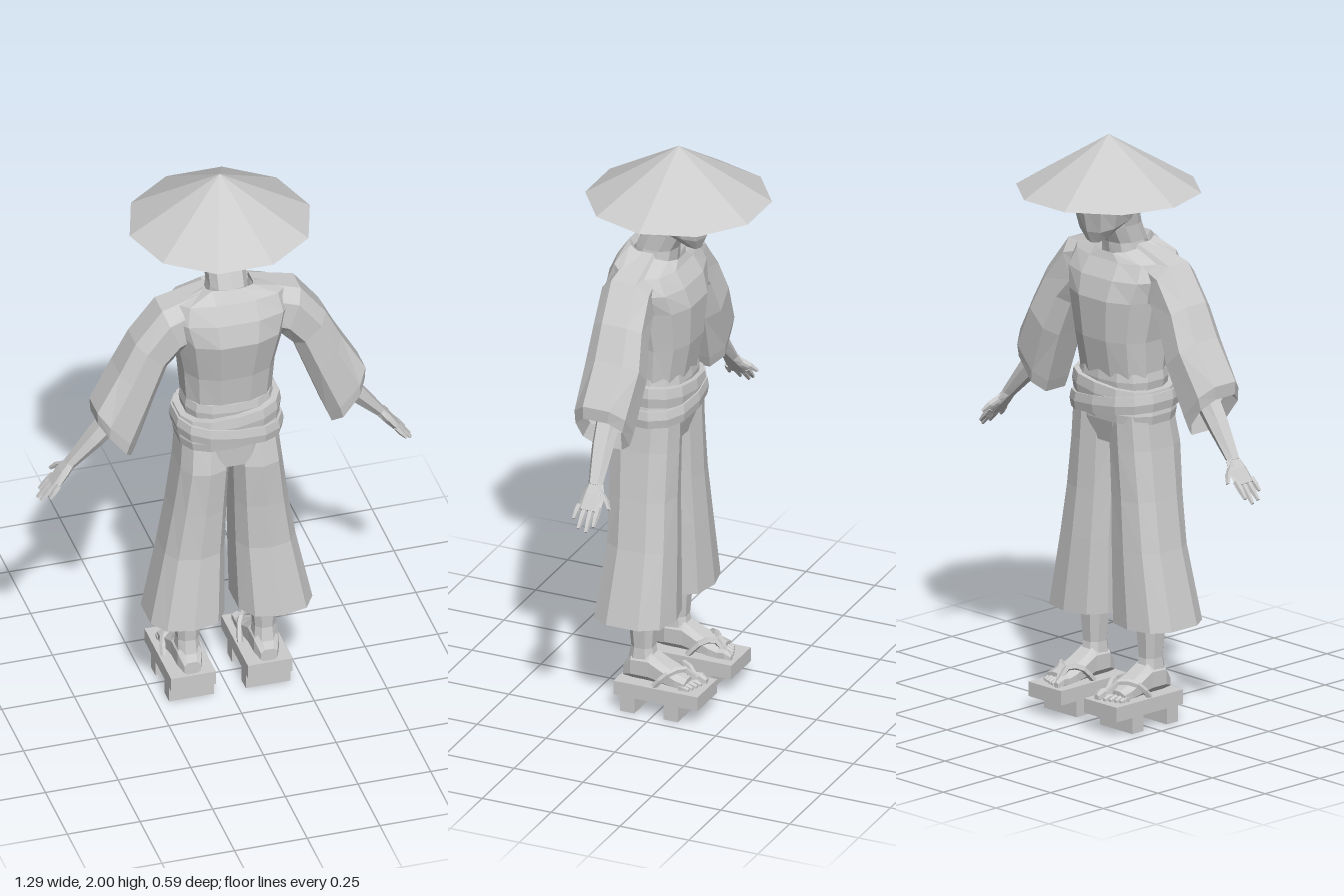
import * as THREE from 'three';

const mat = new THREE.MeshStandardMaterial({ color: 0xcccccc, flatShading: true, side: THREE.DoubleSide });
const vec = (x, y, z) => new THREE.Vector3(x, y, z);
const soft = (v, e) => Math.sign(v) * Math.pow(Math.abs(v), e);

// closed cross-section around c, spanned by half-axes u and v; e < 1 squares it off
function ring(c, u, v, n = 10, e = 0.8) {
  return Array.from({ length: n }, (_, i) => {
    const a = ((i + 0.5) / n) * Math.PI * 2;
    return c.clone().addScaledVector(u, soft(Math.cos(a), e)).addScaledVector(v, soft(Math.sin(a), e));
  });
}

// near-horizontal section: x centre, half width, z range, height at z0 and at z1
function level(cx, hw, z0, z1, y0, y1 = y0, n = 10, e = 0.8) {
  return ring(vec(cx, (y0 + y1) / 2, (z0 + z1) / 2), vec(hw, 0, 0), vec(0, (y1 - y0) / 2, (z1 - z0) / 2), n, e);
}

// skin over a series of sections, with optional end caps
function loft(rings, capStart = true, capEnd = true) {
  const n = rings[0].length, pos = [];
  const tri = (a, b, c) => pos.push(...a.toArray(), ...b.toArray(), ...c.toArray());
  for (let r = 0; r < rings.length - 1; r++) {
    for (let i = 0; i < n; i++) {
      const j = (i + 1) % n, A = rings[r], B = rings[r + 1];
      tri(A[i], B[i], B[j]);
      tri(A[i], B[j], A[j]);
    }
  }
  const cap = (R, flip) => {
    const c = R.reduce((s, p) => s.add(p), vec(0, 0, 0)).divideScalar(n);
    R.forEach((p, i) => (flip ? tri(c, R[(i + 1) % n], p) : tri(c, p, R[(i + 1) % n])));
  };
  if (capStart) cap(rings[0], false);
  if (capEnd) cap(rings[rings.length - 1], true);
  const g = new THREE.BufferGeometry();
  g.setAttribute('position', new THREE.Float32BufferAttribute(pos, 3));
  return orient(g);
}

// turn all faces outward
function orient(g) {
  const p = g.attributes.position, a = vec(), b = vec(), c = vec();
  g.computeBoundingBox();
  const o = g.boundingBox.getCenter(vec());
  let vol = 0;
  for (let i = 0; i < p.count; i += 3) {
    a.fromBufferAttribute(p, i).sub(o);
    b.fromBufferAttribute(p, i + 1).sub(o);
    c.fromBufferAttribute(p, i + 2).sub(o);
    vol += a.dot(b.cross(c));
  }
  if (vol < 0) {
    for (let i = 0; i < p.count; i += 3) {
      b.fromBufferAttribute(p, i + 1);
      c.fromBufferAttribute(p, i + 2);
      p.setXYZ(i + 1, c.x, c.y, c.z);
      p.setXYZ(i + 2, b.x, b.y, b.z);
    }
  }
  g.computeVertexNormals();
  return g;
}

// tapering limb through [x, y, z, thickness, half depth in z] stations, bent in the xy plane
function limb(st, n = 6) {
  return loft(st.map((s, i) => {
    const p = st[Math.max(i - 1, 0)], q = st[Math.min(i + 1, st.length - 1)];
    const d = vec(q[0] - p[0], q[1] - p[1], 0).normalize();
    return ring(vec(s[0], s[1], s[2]), vec(-d.y * s[3], d.x * s[3], 0), vec(0, 0, s[4]), n);
  }));
}

// sleeve section between an upper and a lower point
function sleeveRing(tx, ty, bx, by, z0, z1) {
  const c = vec((tx + bx) / 2, (ty + by) / 2, (z0 + z1) / 2);
  return ring(c, vec((tx - bx) / 2, (ty - by) / 2, 0), vec(0, 0, (z1 - z0) / 2), 8, 0.75);
}

export function createModel() {
  const root = new THREE.Group();
  root.name = 'robedTraveller';
  const add = (name, g) => {
    const m = new THREE.Mesh(g, mat);
    m.name = name;
    root.add(m);
  };
  const pair = (name, g) => {
    add(name + 'Left', g);
    const m = (g.index ? g.toNonIndexed() : g.clone()).scale(-1, 1, 1);
    add(name + 'Right', orient(m));
  };
  const box = (w, h, d, x, y, z) => new THREE.BoxGeometry(w, h, d).translate(x, y, z);

  // straw hat, open underneath
  add('hat', new THREE.ConeGeometry(0.31, 0.187, 10, 1, true).rotateY(Math.PI / 2).translate(0, 1.907, 0));

  // head bowed toward -z, and neck
  add('head', loft([
    level(0, 0.042, -0.082, 0.02, 1.645, 1.69),
    level(0, 0.076, -0.1, 0.085, 1.685, 1.73),
    level(0, 0.097, -0.117, 0.1, 1.765),
    level(0, 0.106, -0.122, 0.11, 1.83),
    level(0, 0.085, -0.085, 0.085, 1.89),
    level(0, 0.03, -0.03, 0.03, 1.93),
  ]));
  add('neck', loft([
    level(0, 0.08, 0.01, 0.15, 1.54),
    level(0, 0.066, 0, 0.145, 1.63),
    level(0, 0.066, -0.03, 0.12, 1.69),
    level(0, 0.08, -0.04, 0.095, 1.77),
  ]));

  // robe body with a dipped, hollow collar
  add('robe', loft([
    level(0, 0.15, -0.045, 0.18, 1.06, 1.06, 12),
    level(0, 0.15, -0.045, 0.18, 1.18, 1.18, 12),
    level(0, 0.16, -0.07, 0.2, 1.31, 1.31, 12),
    level(0, 0.19, -0.08, 0.235, 1.45, 1.46, 12),
    level(0, 0.215, -0.06, 0.22, 1.52, 1.54, 12),
    level(0, 0.2, -0.025, 0.19, 1.575, 1.605, 12),
    level(0, 0.09, -0.015, 0.165, 1.6, 1.645, 12),
    level(0, 0.075, 0.01, 0.15, 1.56, 1.62, 12),
  ], true, false));

  // wide sleeves, open at the cuff
  pair('sleeve', loft([
    sleeveRing(0.08, 1.635, 0.1, 1.43, 0.02, 0.16),
    sleeveRing(0.24, 1.59, 0.17, 1.41, 0.0, 0.18),
    sleeveRing(0.33, 1.47, 0.215, 1.36, -0.01, 0.175),
    sleeveRing(0.385, 1.36, 0.26, 1.24, -0.025, 0.18),
    sleeveRing(0.465, 1.225, 0.325, 1.065, -0.01, 0.185),
    sleeveRing(0.462, 1.18, 0.342, 1.025, 0.0, 0.18),
    sleeveRing(0.43, 1.2, 0.33, 1.08, 0.02, 0.16),
  ], true, false));

  // forearm, palm, fingers and thumb
  pair('forearm', limb([
    [0.34, 1.21, 0.08, 0.045, 0.045],
    [0.45, 1.08, 0.068, 0.032, 0.038],
    [0.535, 0.98, 0.055, 0.018, 0.025],
  ]));
  pair('palm', limb([
    [0.525, 0.99, 0.055, 0.017, 0.024],
    [0.555, 0.955, 0.052, 0.017, 0.04],
    [0.59, 0.912, 0.055, 0.013, 0.042],
  ]));
  [[0.022, 0.02, 0.627, 0.875], [0.045, 0.041, 0.64, 0.858], [0.067, 0.07, 0.636, 0.864], [0.09, 0.098, 0.612, 0.885]]
    .forEach(([z0, z1, x, y], i) => pair('finger' + (i + 1), limb([
      [0.58, 0.925, z0, 0.01, 0.011],
      [(0.58 + x) / 2, (0.925 + y) / 2, (z0 + z1) / 2, 0.01, 0.01],
      [x, y, z1, 0.006, 0.006],
    ], 5)));
  pair('thumb', limb([
    [0.54, 0.975, 0.04, 0.012, 0.012],
    [0.56, 0.95, 0.005, 0.011, 0.011],
    [0.58, 0.925, -0.015, 0.006, 0.007],
  ], 5));

  // sash: crossing wrapped bands, as [half width, z0, z1, y0, y1, sideways tilt]
  [[0.155, -0.05, 0.19, 1.14, 1.2, 0], [0.18, -0.07, 0.215, 1.09, 1.16, 0.018],
    [0.188, -0.078, 0.225, 1.055, 1.115, -0.02], [0.178, -0.065, 0.215, 1.04, 1.1, 0.012]]
    .forEach(([hw, z0, z1, y0, y1, t], i) => {
      const band = (k, y) => ring(vec(0, y, (z0 + z1) / 2), vec(hw * k, t, 0), vec(0, 0, (z1 - z0) / 2 * k), 14);
      add('sashBand' + (i + 1), loft([band(0.8, y0), band(0.97, y0), band(1, (y0 + y1) / 2), band(0.97, y1), band(0.8, y1)], false, false));
    });

  // wide trousers, open at the hem
  add('trouserSeat', loft([
    level(0, 0.163, -0.045, 0.182, 1.1, 1.1, 12),
    level(0, 0.17, -0.045, 0.19, 1.03, 1.03, 12),
    level(0, 0.15, -0.025, 0.185, 0.95, 0.95, 12),
  ]));
  const legRing = (x0, x1, z0, z1, y) => level((x0 + x1) / 2, (x1 - x0) / 2, z0, z1, y, y, 10, 0.75);
  pair('trouserLeg', loft([
    legRing(0.0, 0.165, -0.045, 0.18, 1.06),
    legRing(0.004, 0.177, -0.045, 0.202, 0.94),
    legRing(0.01, 0.2, -0.045, 0.192, 0.77),
    legRing(0.015, 0.228, -0.052, 0.188, 0.6),
    legRing(0.02, 0.283, -0.062, 0.217, 0.34),
  ], true, false));

  // shin and foot
  const cx = 0.132;
  pair('shin', loft([
    level(cx, 0.058, 0.005, 0.125, 0.55, 0.55, 8),
    level(cx, 0.05, 0.015, 0.115, 0.34, 0.34, 8),
    level(cx, 0.038, 0.025, 0.105, 0.22, 0.22, 8),
    level(cx, 0.044, 0.01, 0.12, 0.15, 0.15, 8),
  ]));
  const footRing = (z, hw, top) => ring(vec(cx, (0.1 + top) / 2, z), vec(hw, 0, 0), vec(0, (top - 0.1) / 2, 0), 8, 0.7);
  pair('foot', loft([
    footRing(0.128, 0.03, 0.15), footRing(0.095, 0.045, 0.2), footRing(0.03, 0.047, 0.205),
    footRing(-0.02, 0.052, 0.175), footRing(-0.07, 0.058, 0.15), footRing(-0.105, 0.056, 0.138),
  ]));
  // toes
  [-0.036, -0.008, 0.012, 0.031, 0.047].forEach((dx, i) => {
    const r = i ? 0.0105 : 0.017, tip = -0.148 + i * 0.007;
    const toe = (z, k) => ring(vec(cx + dx, 0.102 + r * k, z), vec(r * k, 0, 0), vec(0, r * k, 0), 6);
    pair('toe' + (i + 1), loft([toe(-0.085, 1), toe(tip + 0.02, 1.1), toe(tip, 0.6)]));
  });
  // sandal thong
  [-1, 1].forEach((s) => {
    const path = new THREE.CatmullRomCurve3([
      vec(cx + s * 0.062, 0.105, 0.0), vec(cx + s * 0.052, 0.15, -0.04),
      vec(cx + s * 0.015 - 0.012, 0.16, -0.085), vec(cx - 0.02, 0.11, -0.122),
    ]);
    pair(s < 0 ? 'innerStrap' : 'outerStrap', new THREE.TubeGeometry(path, 6, 0.011, 5));
  });
  // raised wooden sandal
  pair('sandalBoard', box(0.154, 0.05, 0.305, cx, 0.08, -0.013));
  pair('sandalRearTooth', box(0.154, 0.056, 0.052, cx, 0.028, 0.09));
  pair('sandalFrontTooth', box(0.154, 0.056, 0.052, cx, 0.028, -0.068));

  return root;
}
